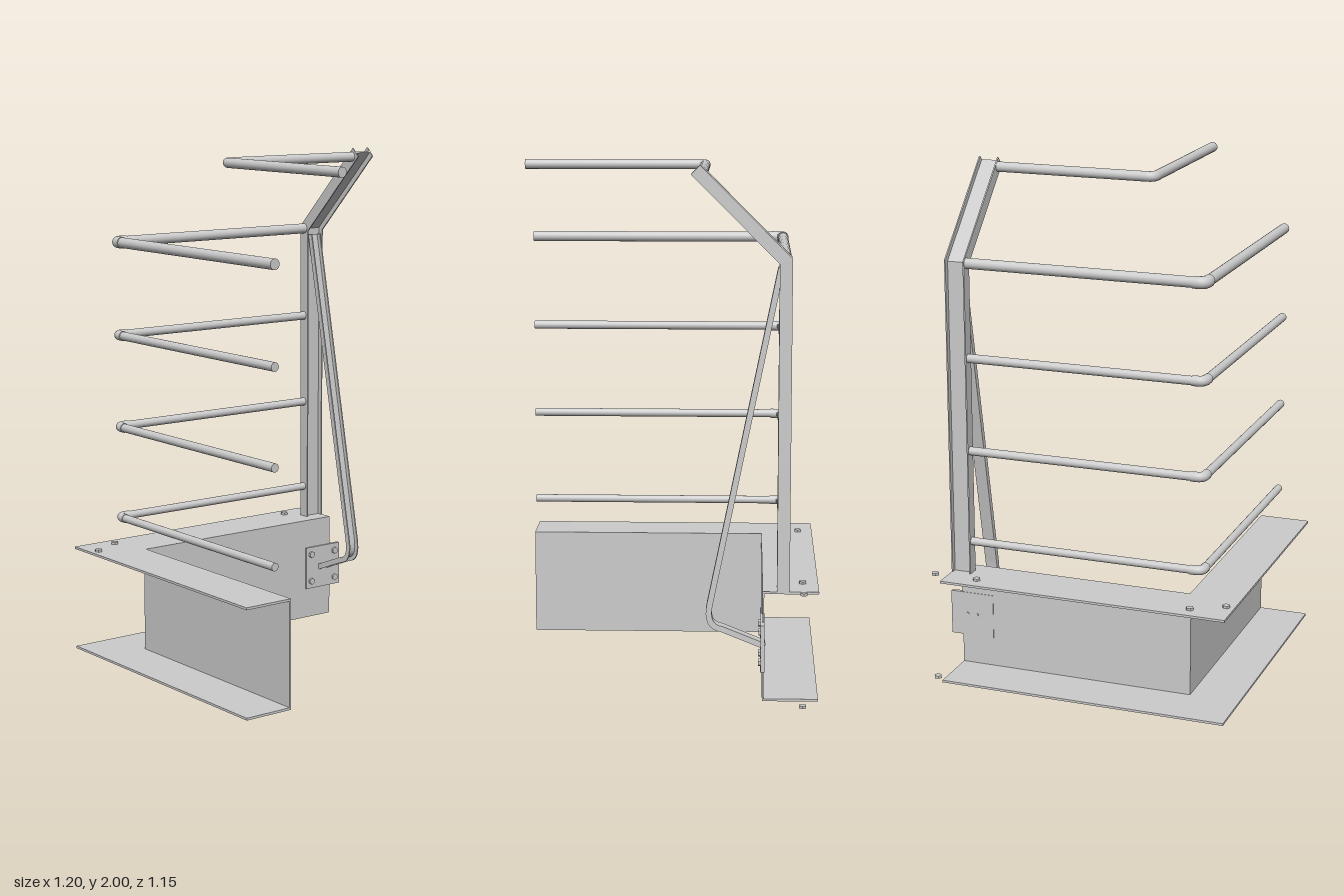
import * as THREE from 'three';

const mat = new THREE.MeshStandardMaterial({ color: 0xcccccc, side: THREE.DoubleSide });
const flat = new THREE.MeshStandardMaterial({ color: 0xcccccc, side: THREE.DoubleSide, flatShading: true });

const mesh = (name, geometry, parent, material = mat) => {
  const m = new THREE.Mesh(geometry, material);
  m.name = name;
  parent.add(m);
  return m;
};
const shapeOf = pts => new THREE.Shape(pts.map(p => new THREE.Vector2(p[0], p[1])));

// Side profile given as [z, y] points, extruded from x0 to x1
function sideExtrude(pts, x0, x1) {
  const g = new THREE.ExtrudeGeometry(shapeOf(pts), { depth: x1 - x0, bevelEnabled: false });
  return g.rotateY(-Math.PI / 2).translate(x1, 0, 0);
}

// Plan outline given as [x, z] points, extruded from y0 to y1
function planExtrude(pts, y0, y1) {
  const g = new THREE.ExtrudeGeometry(shapeOf(pts.map(([x, z]) => [x, -z])), { depth: y1 - y0, bevelEnabled: false });
  return g.rotateX(-Math.PI / 2).translate(0, y0, 0);
}

// Thickened [z, y] polyline, offset between distances a and b with mitred corners
function band(pts, a, b) {
  const v = pts.map(p => new THREE.Vector2(...p));
  const side = d => v.map((p, i) => {
    const normals = [];
    for (const j of [i - 1, i]) if (v[j] && v[j + 1]) {
      const t = v[j + 1].clone().sub(v[j]).normalize();
      normals.push(new THREE.Vector2(-t.y, t.x));
    }
    const n = normals.reduce((s, q) => s.add(q), new THREE.Vector2()).normalize();
    n.multiplyScalar(d / n.dot(normals[0])).add(p);
    return [n.x, n.y];
  });
  return [...side(a), ...side(b).reverse()];
}

// Capped round bar between two points
function bar(a, b, r) {
  const p = new THREE.Vector3(...a), q = new THREE.Vector3(...b);
  const d = q.clone().sub(p);
  const g = new THREE.CylinderGeometry(r, r, d.length(), 20);
  g.applyQuaternion(new THREE.Quaternion().setFromUnitVectors(new THREE.Vector3(0, 1, 0), d.normalize()));
  return g.translate(...p.add(q).multiplyScalar(0.5).toArray());
}

// Rail that runs back along z, turns a corner and meets the post
function addRail(parent, y, cx, cz, r, sleeve) {
  const rail = new THREE.Group();
  rail.name = 'guardRail';
  parent.add(rail);
  const b = 0.028, s = 0.045, R = r + sleeve;
  mesh('sideRail', bar([cx, y, 0.572], [cx, y, cz + b], r), rail);
  mesh('backRail', bar([cx + b, y, cz], [0.465, y, cz], r), rail);
  const corner = new THREE.QuadraticBezierCurve3(
    new THREE.Vector3(cx, y, cz + b), new THREE.Vector3(cx, y, cz), new THREE.Vector3(cx + b, y, cz));
  mesh('elbow', new THREE.TubeGeometry(corner, 10, R, 20), rail);
  if (sleeve) {
    mesh('elbowSocket', bar([cx, y, cz + b], [cx, y, cz + s], R), rail);
    mesh('elbowSocket', bar([cx + b, y, cz], [cx + s, y, cz], R), rail);
  }
}

export function createModel() {
  const model = new THREE.Group();
  model.name = 'cornerGuardRail';

  // L-shaped edge channel: web on the inside, flanges pointing outward
  const channel = new THREE.Group();
  channel.name = 'edgeChannel';
  model.add(channel);
  const lShape = (ox, oz) => [[ox, 0.573], [ox, oz], [0.54, oz], [0.54, -0.366], [-0.4, -0.366], [-0.4, 0.573]];
  mesh('topFlange', planExtrude(lShape(-0.602, -0.575), 0.422, 0.431), channel);
  mesh('bottomFlange', planExtrude(lShape(-0.602, -0.575), 0.01, 0.019), channel);
  mesh('web', planExtrude(lShape(-0.406, -0.372), 0.019, 0.422), channel);

  // Hexagonal bolt heads on the flanges
  const bolt = (x, y, z) => mesh('flangeBolt', new THREE.CylinderGeometry(0.015, 0.015, 0.01, 6)
    .rotateY(Math.PI / 6).translate(x, y, z), channel, flat);
  for (const [x, z] of [[-0.57, -0.45], [-0.45, -0.517], [0.412, -0.517], [0.586, -0.517]]) bolt(x, 0.435, z);
  for (const x of [0.412, 0.586]) bolt(x, 0.005, -0.517);

  // Post: I-section bent inward at the top
  const post = new THREE.Group();
  post.name = 'post';
  model.add(post);
  const postLine = [[-0.4425, 0.431], [-0.4425, 1.656], [-0.114, 1.9835]];
  for (const x of [0.46, 0.535]) mesh('postFlange', sideExtrude(band(postLine, -0.0235, 0.0235), x, x + 0.005), post);
  mesh('postWeb', sideExtrude(band(postLine, -0.003, 0.003), 0.465, 0.535), post);

  // Rails
  [[0.56, 0.0155], [0.925, 0.0165], [1.29, 0.017], [1.655, 0.0205]].forEach(([y, r]) => addRail(model, y, -0.472, -0.445, r, 0.0025));
  addRail(model, 1.965, -0.168, -0.136, 0.0195, 0);

  // Diagonal brace: shallow channel with a rounded foot bend
  const brace = new THREE.Group();
  brace.name = 'brace';
  model.add(brace);
  const foot = new THREE.QuadraticBezierCurve(
    new THREE.Vector2(-0.17, 0.375), new THREE.Vector2(-0.152, 0.29), new THREE.Vector2(-0.215, 0.281));
  const braceLine = [[-0.425, 1.63], ...foot.getPoints(8).map(p => [p.x, p.y]), [-0.362, 0.222]];
  for (const x of [0.476, 0.519]) mesh('braceFlange', sideExtrude(band(braceLine, -0.011, 0.011), x, x + 0.005), brace);
  mesh('braceWeb', sideExtrude(band(braceLine, -0.011, -0.006), 0.481, 0.519), brace);

  // Anchor plate with bolts at its corners
  const anchor = new THREE.Group();
  anchor.name = 'anchorPlate';
  model.add(anchor);
  mesh('plate', new THREE.BoxGeometry(0.178, 0.178, 0.015).translate(0.498, 0.224, -0.3665), anchor);
  for (const x of [-0.062, 0.062]) for (const y of [-0.058, 0.058]) {
    mesh('plateBolt', new THREE.CylinderGeometry(0.014, 0.014, 0.008, 6)
      .rotateX(Math.PI / 2).translate(0.498 + x, 0.224 + y, -0.355), anchor, flat);
  }
  for (const x of [-0.02, 0.02]) {
    mesh('platePin', new THREE.CylinderGeometry(0.006, 0.006, 0.005, 12)
      .rotateX(Math.PI / 2).translate(0.498 + x, 0.224, -0.375), anchor);
  }
  return model;
}
